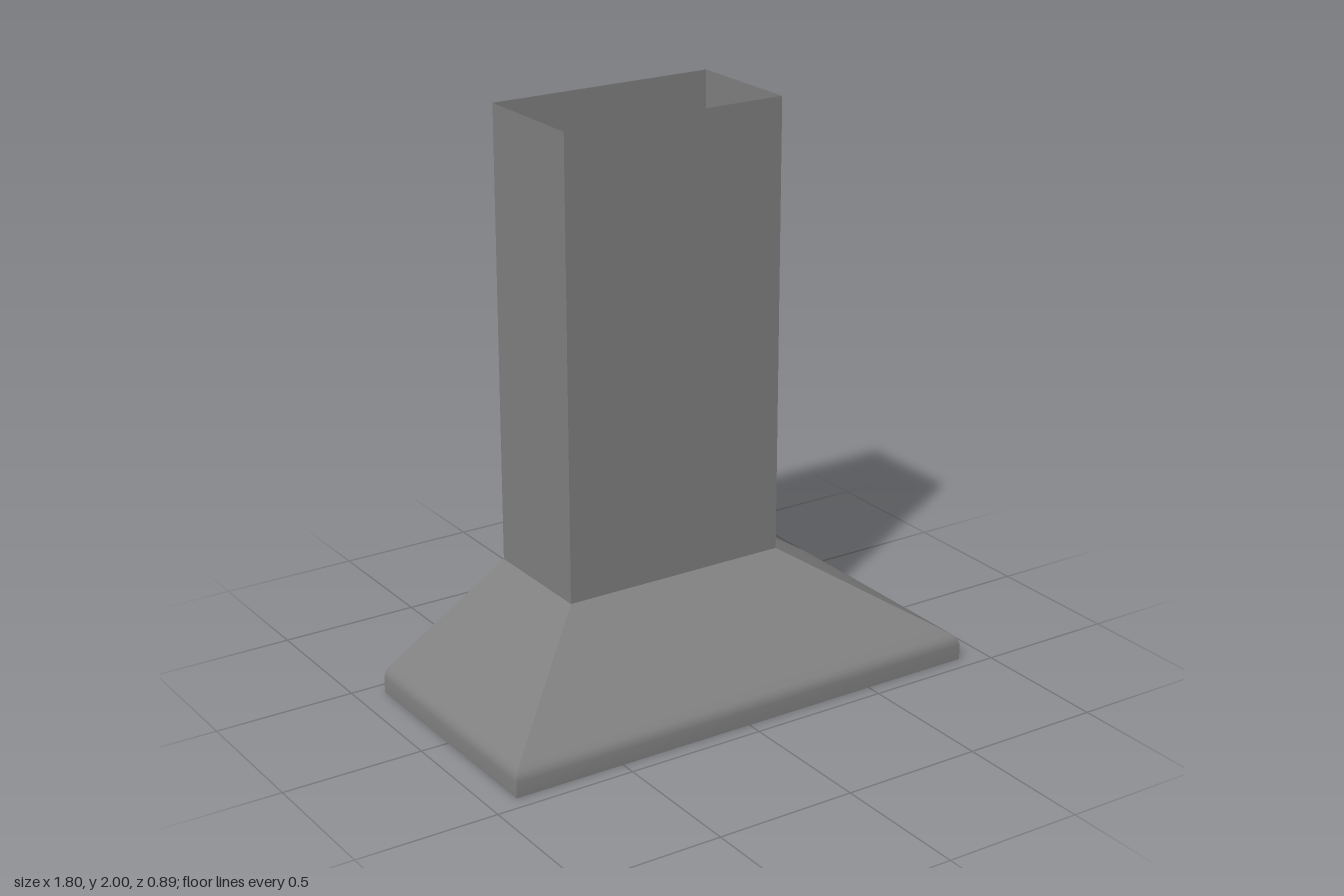
import * as THREE from 'three';
import { toCreasedNormals } from 'three/addons/utils/BufferGeometryUtils.js';

// Skins a stack of rectangular rings, each [half width, front z, back z, y].
function skin(rings) {
  const positions = [];
  const index = [];
  for (const [x, front, back, y] of rings) {
    positions.push(-x, y, front, x, y, front, x, y, back, -x, y, back);
  }
  for (let i = 0; i < rings.length - 1; i++) {
    for (let k = 0; k < 4; k++) {
      const a = i * 4 + k;
      const b = i * 4 + (k + 1) % 4;
      index.push(a, b, b + 4, a, b + 4, a + 4);
    }
  }
  const geometry = new THREE.BufferGeometry();
  geometry.setAttribute('position', new THREE.Float32BufferAttribute(positions, 3));
  geometry.setIndex(index);
  return toCreasedNormals(geometry, 0.5);
}

export function createModel() {
  const steel = new THREE.MeshStandardMaterial({ color: 0x808080, side: THREE.DoubleSide });
  steel.name = 'brushed grey';

  const group = new THREE.Group();
  group.name = 'extractorHood';
  const add = (name, geometry) => {
    const mesh = new THREE.Mesh(geometry, steel);
    mesh.name = name;
    group.add(mesh);
  };

  const back = -0.445;
  const innerBack = -0.4;

  // Canopy: rounded lip, sloping sides, inner ledge, funnel and bottom rim
  add('canopy', skin([
    [0.9, 0.445, back, 0],
    [0.9, 0.445, back, 0.055],
    [0.897, 0.442, back, 0.07],
    [0.89, 0.435, back, 0.083],
    [0.878, 0.424, back, 0.094],
    [0.84, 0.389, back, 0.118],
    [0.42, 0, back, 0.38],
    [0.29, -0.035, innerBack, 0.38],
    [0.74, 0.32, innerBack, 0],
    [0.9, 0.445, back, 0],
  ]));

  // Chimney: thin open duct flush with the back
  add('chimney', skin([
    [0.42, 0, back, 0.38],
    [0.42, 0, back, 2],
  ]));

  return group;
}
